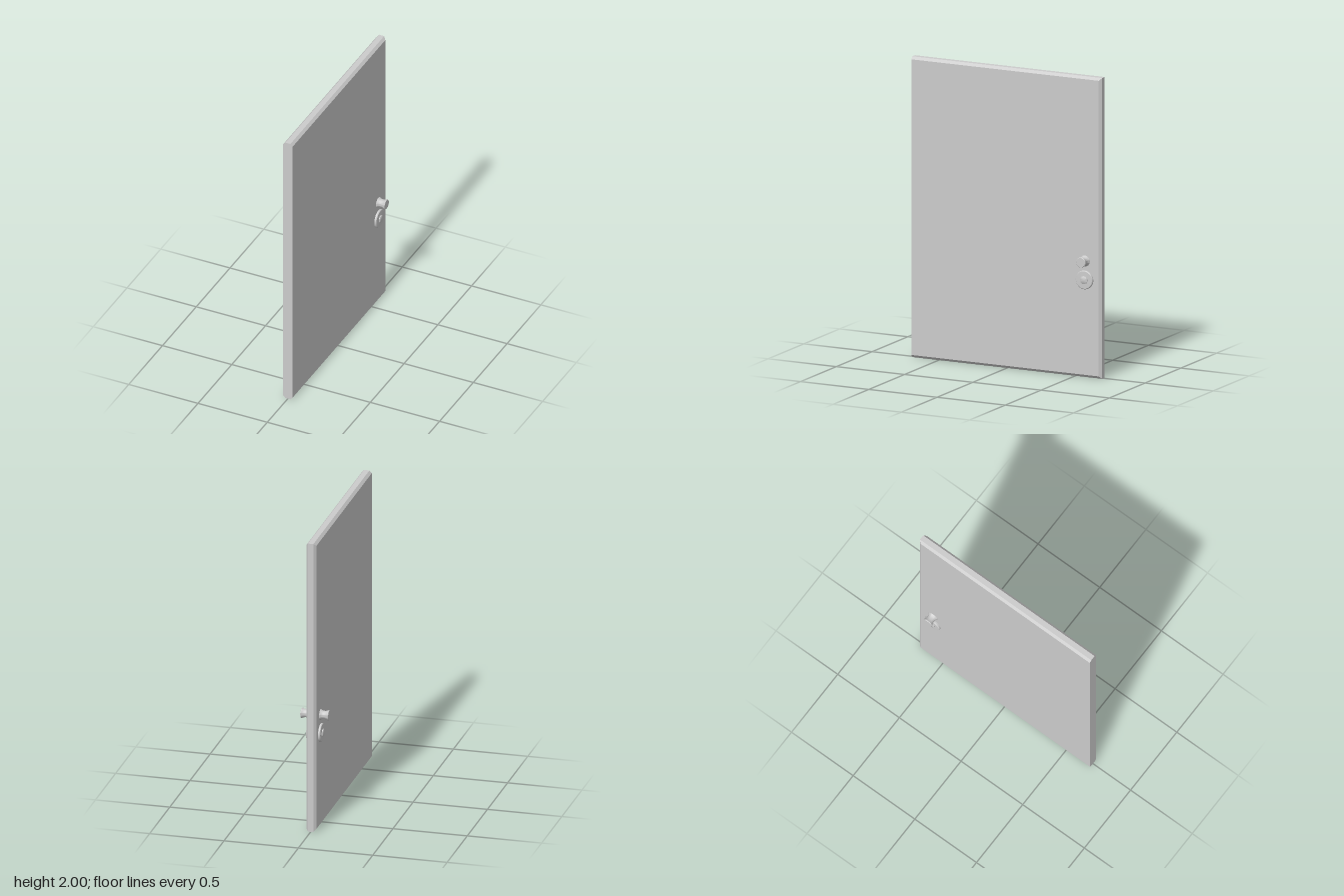
import * as THREE from 'three';
import { toCreasedNormals } from 'three/addons/utils/BufferGeometryUtils.js';

const material = new THREE.MeshStandardMaterial({ color: 0xcccccc });
const FACE = 0.034; // half the slab thickness

// Door slab: rectangles stacked along x, chamfered on all edges but the front one
function slabGeometry() {
  const loop = (x, inset) => {
    const y0 = inset, y1 = 2 - inset, back = -0.695 + inset, front = 0.695;
    return [[x, y0, front], [x, y0, back], [x, y1, back], [x, y1, front]];
  };
  const loops = [loop(-FACE, 0.017), loop(-0.018, 0), loop(0.018, 0), loop(FACE, 0.017)];
  const positions = [];
  const quad = (a, b, c, d) => positions.push(...a, ...b, ...c, ...a, ...c, ...d);
  for (let i = 0; i < loops.length - 1; i++) {
    for (let j = 0; j < 4; j++) {
      const k = (j + 1) % 4;
      quad(loops[i][j], loops[i][k], loops[i + 1][k], loops[i + 1][j]);
    }
  }
  quad(...loops[3]);
  quad(...loops[0].slice().reverse());
  const geometry = new THREE.BufferGeometry();
  geometry.setAttribute('position', new THREE.Float32BufferAttribute(positions, 3));
  geometry.computeVertexNormals();
  return geometry;
}

// Turned part from [radius, distance from the slab centre] pairs
function turned(profile) {
  const points = profile.map(([r, d]) => new THREE.Vector2(r, d));
  return toCreasedNormals(new THREE.LatheGeometry(points, 32), 0.6);
}

export function createModel() {
  const group = new THREE.Group();
  const add = (name, geometry) => {
    const mesh = new THREE.Mesh(geometry, material);
    mesh.name = name;
    group.add(mesh);
    return mesh;
  };

  add('doorSlab', slabGeometry());

  // Flared knob with a narrow neck
  const knob = turned([
    [0.037, 0.03], [0.036, 0.036], [0.031, 0.042], [0.028, 0.049], [0.027, 0.058],
    [0.027, 0.067], [0.029, 0.077], [0.032, 0.084], [0.034, 0.087], [0.034, 0.091],
    [0.031, 0.094], [0, 0.094],
  ]);
  // Lock plate with a raised cylinder in the middle
  const lock = turned([
    [0.062, 0.03], [0.062, 0.044], [0.058, 0.048], [0.026, 0.049],
    [0.026, 0.054], [0.023, 0.056], [0, 0.056],
  ]);

  // Same hardware on both faces
  for (const [side, sign] of [['left', 1], ['right', -1]]) {
    for (const [part, geometry, y] of [['Knob', knob, 0.775], ['LockPlate', lock, 0.65]]) {
      const mesh = add(side + part, geometry);
      mesh.rotation.z = -sign * Math.PI / 2;
      mesh.position.set(0, y, -0.577);
    }
  }
  return group;
}
